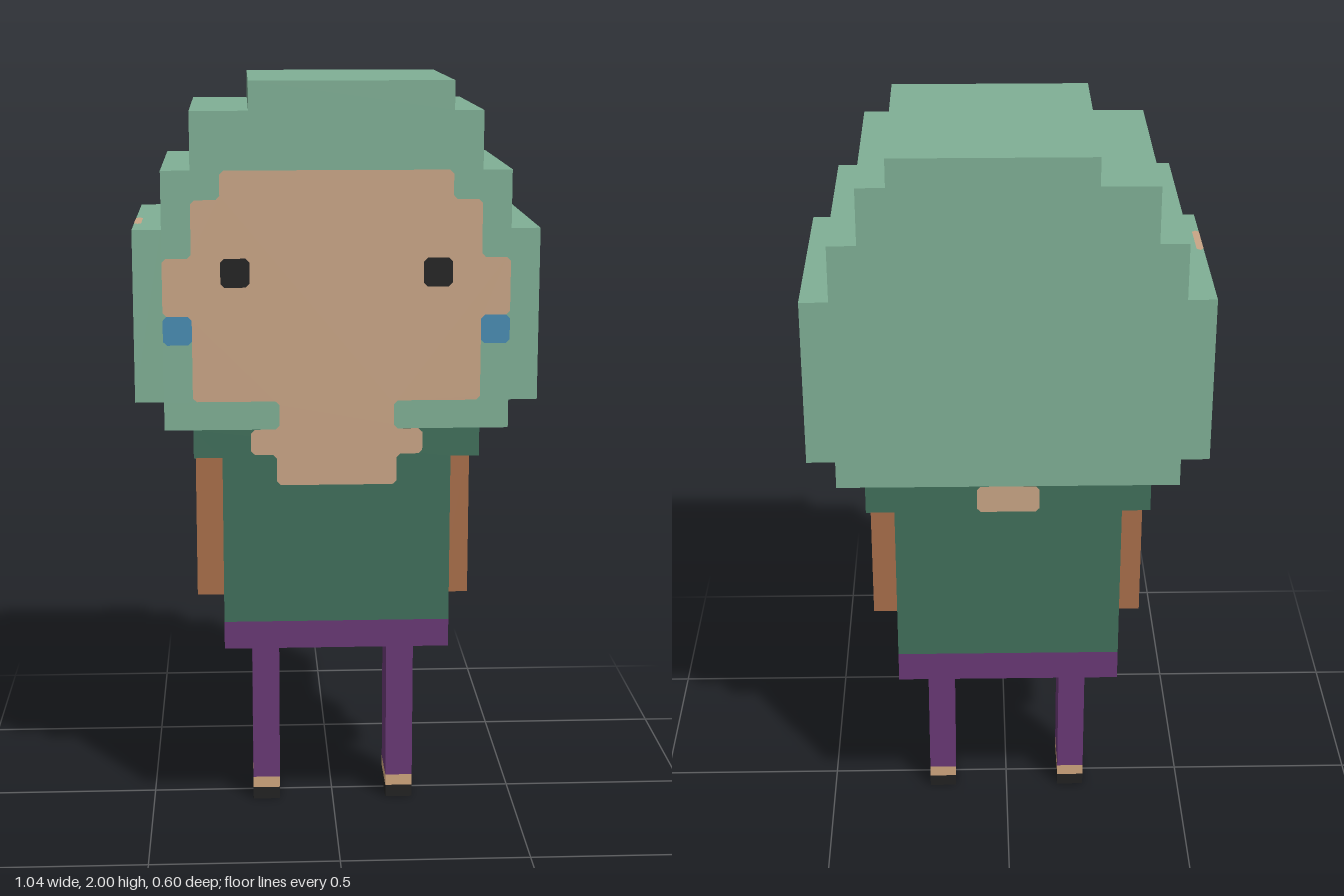
import * as THREE from 'three';

const U = 2 / 27; // one block
const mat = (name, color, opts = {}) => new THREE.MeshStandardMaterial({ name, color, ...opts });

// Closed outline in block units, mirrored from its right half (listed top to bottom)
const mirrored = (half) => [...half, ...half.slice().reverse().map(([x, y]) => [-x, y])];

// Shape from block points; cut trims every corner by a small amount
function outline(points, cut = 0) {
  const v = points.map(([x, y]) => new THREE.Vector2(x * U, y * U));
  if (!cut) return new THREE.Shape(v);
  const toward = (a, b) => a.clone().add(b.clone().sub(a).setLength(cut));
  const n = v.length;
  return new THREE.Shape(v.flatMap((p, i) => [toward(p, v[(i + n - 1) % n]), toward(p, v[(i + 1) % n])]));
}

const rect = (x0, x1, y0, y1) => [[x0, y0], [x1, y0], [x1, y1], [x0, y1]];

export function createModel() {
  const model = new THREE.Group();
  model.name = 'blockFigure';
  const hair = mat('hair green', 0x7faf95);
  const shirt = mat('shirt green', 0x406f5b);
  const purple = mat('trouser purple', 0x693875);
  const brown = mat('arm brown', 0xa86e4a);
  const skin = mat('skin', 0xc9a586);
  const blue = mat('earring blue', 0x488cb2);
  const black = mat('black', 0x222222);
  const tan = mat('ankle tan', 0xd0a67e);

  const add = (name, geometry, material) => {
    const mesh = new THREE.Mesh(geometry, material);
    mesh.name = name;
    model.add(mesh);
    return mesh;
  };
  const slab = (name, points, material) => {
    const g = new THREE.ExtrudeGeometry(outline(points), { depth: 8 * U, bevelEnabled: false });
    add(name, g.translate(0, 0, -4 * U), material);
  };
  const box = (name, x0, x1, y0, y1, halfZ, material) => {
    const g = new THREE.BoxGeometry((x1 - x0) * U, (y1 - y0) * U, 2 * halfZ * U);
    add(name, g.translate((x0 + x1) / 2 * U, (y0 + y1) / 2 * U, 0), material);
  };
  const plate = (name, points, material, lift = 0.001) => {
    const m = add(name, new THREE.ShapeGeometry(outline(points, 0.01)), material);
    m.position.z = 4 * U + lift;
    return m;
  };

  // Stepped hair block
  slab('hair', [
    [4, 27], [4, 26], [5, 26], [5, 24], [6, 24], [6, 22], [7, 22], [7, 16], [6, 16], [6, 15],
    [-6, 15], [-6, 16], [-7, 16], [-7, 22], [-6, 22], [-6, 24], [-5, 24], [-5, 26], [-3, 26], [-3, 27],
  ], hair);

  // Shirt with overhanging shoulders, and hips
  slab('shirt', mirrored([[5, 15], [5, 14], [4, 14], [4, 8]]), shirt);
  box('hips', -4, 4, 7, 8.1, 4, purple);

  // Face with ears and neckline
  plate('face', mirrored([
    [4, 24], [4, 23], [5, 23], [5, 21], [6, 21], [6, 19], [5, 19], [5, 16],
    [2, 16], [2, 15], [3, 15], [3, 14.1], [2.1, 14.1], [2.1, 13],
  ]), skin);

  // Nape patch on the back
  const nape = plate('nape', rect(-1.1, 1.1, 14, 15), skin);
  nape.rotation.y = Math.PI;
  nape.position.z = -4 * U - 0.001;

  // Small skin mark on the ledge of the hair
  const mark = plate('ledgeMark', rect(-7, -6.75, -2.35, -0.45), skin);
  mark.rotation.x = -Math.PI / 2;
  mark.position.set(0, 22 * U + 0.001, 0);

  // Paired parts
  for (const s of [-1, 1]) {
    const side = s > 0 ? 'left' : 'right';
    const span = (a, b) => (s > 0 ? [a, b] : [-b, -a]);
    plate(side + 'Eye', rect(...span(3, 4), 20, 21), black, 0.003);
    plate(side + 'Earring', rect(...span(5, 6), 18, 19), blue, 0.002);
    box(side + 'Arm', ...span(4, 5), 8.1, 14, 1, brown);
    box(side + 'Leg', ...span(2, 3), 0.88, 7, 1, purple);
    box(side + 'Ankle', ...span(2, 3), 0.46, 0.88, 1, tan);
    box(side + 'Shoe', ...span(2, 3), 0, 0.46, 1, black);
  }
  return model;
}
